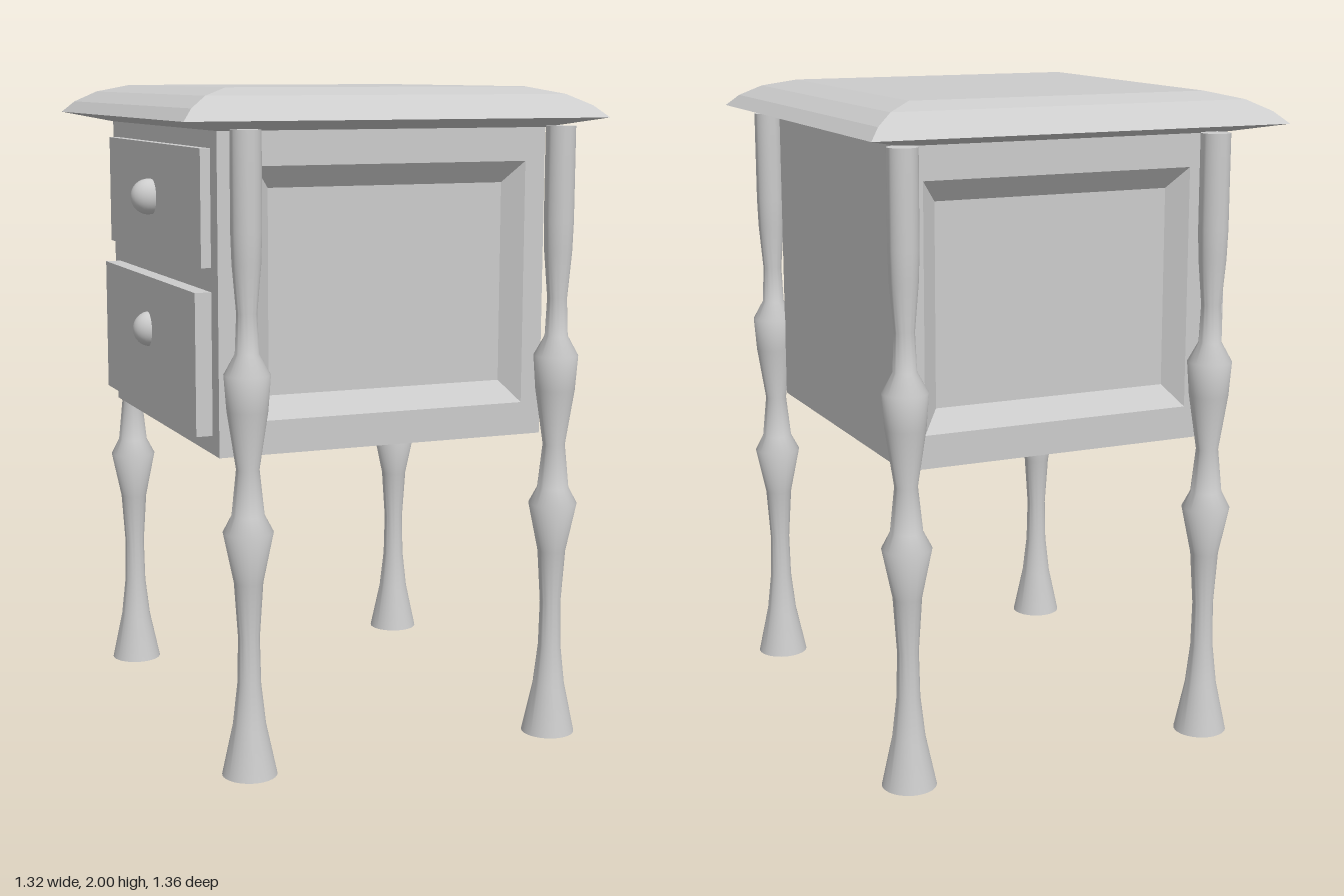
import * as THREE from 'three';
import { toCreasedNormals } from 'three/addons/utils/BufferGeometryUtils.js';

const material = new THREE.MeshStandardMaterial({ color: 0xcccccc });

function addMesh(parent, name, geometry, x = 0, y = 0, z = 0) {
  const mesh = new THREE.Mesh(geometry, material);
  mesh.name = name;
  mesh.position.set(x, y, z);
  parent.add(mesh);
  return mesh;
}

// Joins rectangular rings [x0, x1, y0, y1, z], listed from low z to high z, and caps both ends
function rectLoft(rings) {
  const corners = rings.map(([x0, x1, y0, y1, z]) => [[x0, y0, z], [x1, y0, z], [x1, y1, z], [x0, y1, z]]);
  const positions = [];
  const quad = (a, b, c, d) => positions.push(...a, ...b, ...c, ...a, ...c, ...d);
  for (let i = 0; i < corners.length - 1; i++) {
    const low = corners[i], high = corners[i + 1];
    for (let k = 0; k < 4; k++) {
      const n = (k + 1) % 4;
      quad(low[k], low[n], high[n], high[k]);
    }
  }
  const first = corners[0], last = corners[corners.length - 1];
  quad(first[3], first[2], first[1], first[0]);
  quad(...last);
  const geometry = new THREE.BufferGeometry();
  geometry.setAttribute('position', new THREE.Float32BufferAttribute(positions, 3));
  geometry.computeVertexNormals();
  return geometry;
}

export function createModel() {
  const model = new THREE.Group();
  model.name = 'nightstand';

  // Table top with bevelled edge and slightly sloping underside
  const topRings = [
    [0.52, 0.54, 1.88], [0.66, 0.68, 1.91], [0.625, 0.64, 1.945],
    [0.565, 0.58, 1.978], [0.475, 0.49, 2.0],
  ].map(([hx, hz, y]) => [-hx, hx, -hz, hz, y]);
  addMesh(model, 'tableTop', rectLoft(topRings).rotateX(-Math.PI / 2));

  // Cabinet with a sunken bevelled panel on the front and back
  const floor = [-0.35, 0.4, 1.11, 1.715];
  const opening = [-0.405, 0.455, 1.045, 1.78];
  const outer = [-0.52, 0.52, 0.945, 1.885];
  addMesh(model, 'cabinet', rectLoft([
    [...floor, -0.49], [...opening, -0.54], [...outer, -0.54],
    [...outer, 0.54], [...opening, 0.54], [...floor, 0.49],
  ]));

  // Drawer fronts and knobs on the right side
  const drawers = [
    { name: 'upperDrawer', y0: 1.49, y1: 1.83, face: -0.55, knobY: 1.665 },
    { name: 'lowerDrawer', y0: 1.0, y1: 1.42, face: -0.57, knobY: 1.255 },
  ];
  for (const { name, y0, y1, face, knobY } of drawers) {
    const depth = -0.5 - face;
    addMesh(model, name, new THREE.BoxGeometry(depth, y1 - y0, 0.96), face + depth / 2, (y0 + y1) / 2, 0);
    const knob = addMesh(model, name + 'Knob', new THREE.SphereGeometry(0.055, 24, 16), -0.562, knobY, 0);
    knob.scale.z = 0.85;
  }

  // Turned legs
  const profile = [
    [0, 0], [0.082, 0], [0.049, 0.155], [0.035, 0.28], [0.032, 0.42], [0.043, 0.585],
    [0.074, 0.735], [0.048, 0.785], [0.034, 0.92], [0.06, 1.09], [0.068, 1.195],
    [0.035, 1.255], [0.03, 1.37], [0.042, 1.51], [0.045, 1.6], [0.045, 1.885], [0, 1.885],
  ].map(([r, y]) => new THREE.Vector2(r, y));
  const legGeometry = toCreasedNormals(new THREE.LatheGeometry(profile, 32), 0.8);
  for (const [side, x] of [['Left', 0.54], ['Right', -0.455]]) {
    for (const [end, z] of [['front', 0.6], ['back', -0.6]]) {
      addMesh(model, end + side + 'Leg', legGeometry, x, 0, z);
    }
  }

  return model;
}
